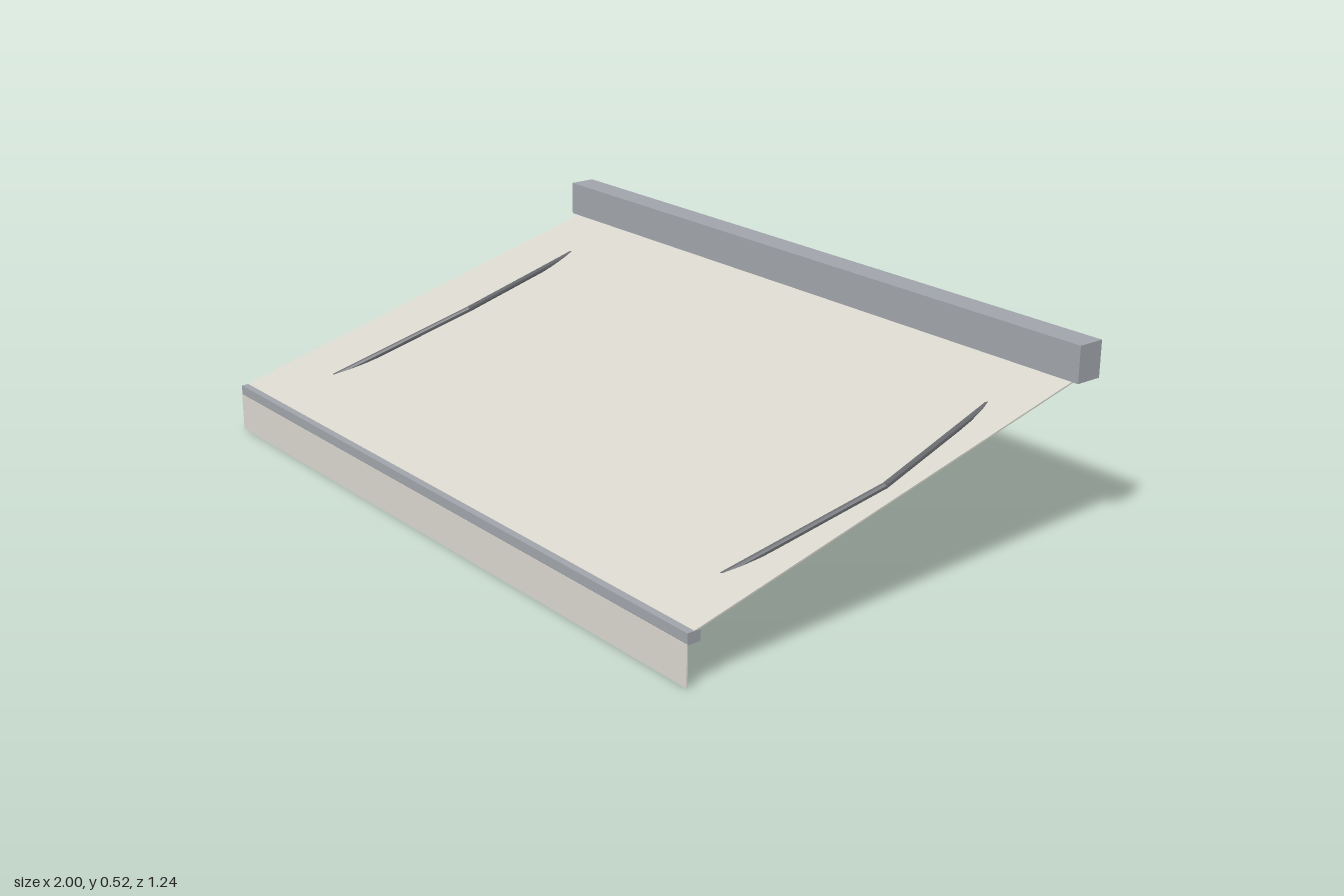
import * as THREE from 'three';

const material = (color) => new THREE.MeshStandardMaterial({ color, flatShading: true });

export function createModel() {
  const group = new THREE.Group();
  const metal = material(0xa0a4aa);
  const cloth = material(0xd8d6cc);
  const dark = material(0x6a6c70);

  // Box given by its width and its y and z limits
  function bar(name, width, y0, y1, z0, z1, mat) {
    const mesh = new THREE.Mesh(new THREE.BoxGeometry(width, y1 - y0, z1 - z0), mat);
    mesh.position.set(0, (y0 + y1) / 2, (z0 + z1) / 2);
    mesh.name = name;
    group.add(mesh);
  }

  // Thin rod between two points
  function rod(name, a, b, parent) {
    const dir = b.clone().sub(a);
    const mesh = new THREE.Mesh(new THREE.CylinderGeometry(0.008, 0.008, dir.length(), 8), dark);
    mesh.position.copy(a).add(b).multiplyScalar(0.5);
    mesh.quaternion.setFromUnitVectors(new THREE.Vector3(0, 1, 0), dir.normalize());
    mesh.name = name;
    parent.add(mesh);
  }

  // Wall housing, front rail and hanging valance
  bar('housing', 2, 0.43, 0.525, -0.62, -0.545, metal);
  bar('frontRail', 1.955, 0.1, 0.128, 0.583, 0.619, metal);
  bar('valance', 1.955, 0, 0.102, 0.617, 0.62, cloth);

  // Sloping fabric from the housing to the front rail
  const back = new THREE.Vector2(-0.565, 0.43);
  const front = new THREE.Vector2(0.6, 0.127);
  const run = front.clone().sub(back);
  const fabric = new THREE.Mesh(new THREE.BoxGeometry(1.955, 0.004, run.length()), cloth);
  fabric.position.set(0, (back.y + front.y) / 2, (back.x + front.x) / 2);
  fabric.rotation.x = -Math.atan2(run.y, run.x);
  fabric.name = 'fabric';
  group.add(fabric);

  // Two folding arms, both with the elbow bent towards +x
  for (const [side, x] of [['right', -0.83], ['left', 0.825]]) {
    const arm = new THREE.Group();
    arm.name = side + 'Arm';
    const shoulder = new THREE.Vector3(x, 0.403, -0.56);
    const elbow = new THREE.Vector3(x + 0.145, 0.314, 0.05);
    const wrist = new THREE.Vector3(x, 0.11, 0.573);
    rod('upperArm', shoulder, elbow, arm);
    rod('forearm', elbow, wrist, arm);
    group.add(arm);
  }
  return group;
}
